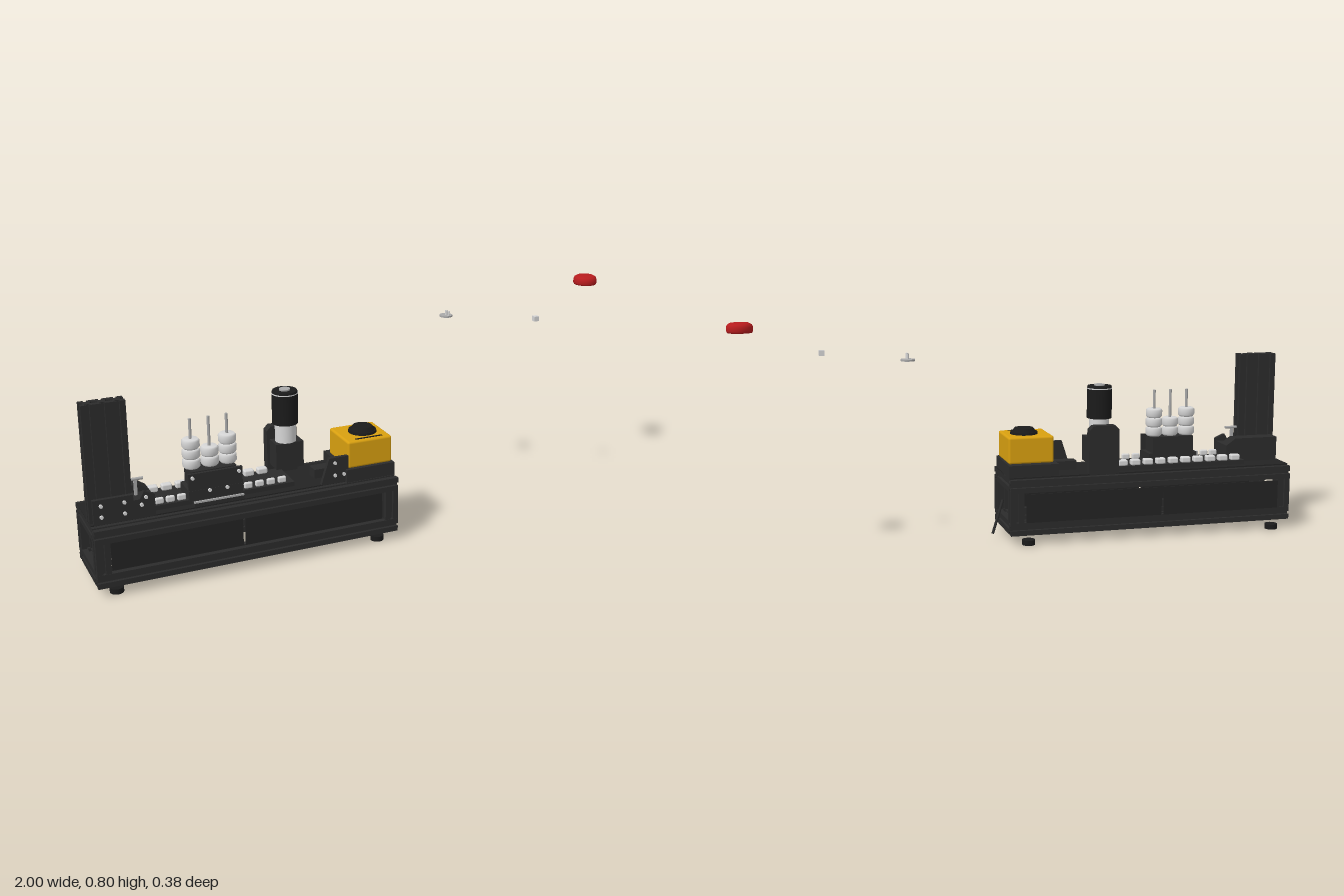
import * as THREE from 'three';
import { RoundedBoxGeometry } from 'three/addons/geometries/RoundedBoxGeometry.js';

export function createModel() {
  const root = new THREE.Group();
  const mat = (name, color, side = THREE.FrontSide) => {
    const m = new THREE.MeshStandardMaterial({ color, side });
    m.name = name;
    return m;
  };
  const frameMat = mat('black anodised frame', 0x2b2b2b);
  const panelMat = mat('dark panel', 0x232323);
  const blackMat = mat('black plastic', 0x1b1b1b);
  const whiteMat = mat('pale metal', 0xd6d6d6);
  const steelMat = mat('steel', 0xa9a9a9);
  const yellowMat = mat('yellow housing', 0xd9a010);
  const redMat = mat('red cap', 0xb81c1e, THREE.DoubleSide);

  const add = (name, geo, material, x = 0, y = 0, z = 0) => {
    const m = new THREE.Mesh(geo, material);
    m.name = name;
    m.position.set(x, y, z);
    root.add(m);
    return m;
  };
  // Box given by its minimum and maximum on each axis
  const box = (name, material, x0, x1, y0, y1, z0, z1) =>
    add(name, new THREE.BoxGeometry(x1 - x0, y1 - y0, z1 - z0), material,
      (x0 + x1) / 2, (y0 + y1) / 2, (z0 + z1) / 2);
  const cyl = (name, material, r0, r1, y0, y1, x, z, n = 32) =>
    add(name, new THREE.CylinderGeometry(r1, r0, y1 - y0, n), material, x, (y0 + y1) / 2, z);
  const bolt = (x, y, z) => {
    const b = cyl('bolt', whiteMat, 0.006, 0.006, y - 0.004, y + 0.004, x, z, 12);
    b.rotation.x = Math.PI / 2;
  };
  const plate = (name, points, z, depth, material) =>
    add(name, new THREE.ExtrudeGeometry(new THREE.Shape(points.map(p => new THREE.Vector2(...p))),
      { depth, bevelEnabled: false }), material, 0, 0, z);

  // Slotted square extrusion used for rails, posts and the column
  const beam = (name, axis, length, x, y, z, size = 0.047) => {
    const h = size / 2, g = 0.005, d = 0.011, w = 0.011;
    const side = [[h, -h], [h, -g], [h - 0.005, -g], [h - 0.005, -w], [h - d, -g],
      [h - d, g], [h - 0.005, w], [h - 0.005, g], [h, g]];
    const pts = [];
    for (let i = 0; i < 4; i++) {
      const c = [1, 0, -1, 0][i], s = [0, 1, 0, -1][i];
      side.forEach(([a, b]) => pts.push(new THREE.Vector2(a * c - b * s, a * s + b * c)));
    }
    const geo = new THREE.ExtrudeGeometry(new THREE.Shape(pts), { depth: length, bevelEnabled: false });
    geo.translate(0, 0, -length / 2);
    if (axis === 'x') geo.rotateY(Math.PI / 2);
    if (axis === 'y') geo.rotateX(Math.PI / 2);
    return add(name, geo, frameMat, x, y, z);
  };

  // Base frame
  for (const y of [0.0575, 0.21]) {
    for (const z of [0.1685, -0.0435]) beam('longRail', 'x', 1.055, -0.4725, y, z);
    for (const x of [-0.9765, 0.0315]) beam('endRail', 'z', 0.165, x, y, 0.0625);
  }
  for (const x of [-0.9765, 0.0315]) {
    for (const z of [0.1685, -0.0435]) beam('cornerPost', 'y', 0.105, x, 0.134, z);
  }
  for (const x of [-0.935, -0.01]) {
    for (const z of [0.16, -0.058]) cyl('foot', blackMat, 0.023, 0.023, 0, 0.018, x, z);
  }
  for (const z of [0.172, -0.075]) {
    box('sidePanel', panelMat, -0.948, -0.506, 0.082, 0.184, z - 0.002, z + 0.002);
    box('sidePanel', panelMat, -0.498, 0.002, 0.082, 0.184, z - 0.002, z + 0.002);
  }
  box('deck', panelMat, -0.953, 0.008, 0.215, 0.234, -0.022, 0.147);
  box('deckCover', panelMat, -1, 0.055, 0.234, 0.238, -0.045, 0.15);

  // Upright column of three extrusions
  for (let i = 0; i < 3; i++) beam('column', 'y', 0.395, -0.977 + i * 0.0467, 0.4335, 0.1125, 0.0467);

  // Column bracket
  plate('columnBracket', [[-0.99, 0.235], [-0.79, 0.235], [-0.79, 0.31], [-0.825, 0.325],
    [-0.84, 0.3], [-0.86, 0.3], [-0.86, 0.32], [-0.99, 0.32]], 0.137, 0.014, frameMat);
  plate('columnSupport', [[-0.99, 0.235], [-0.79, 0.235], [-0.79, 0.3], [-0.825, 0.325],
    [-0.99, 0.325]], 0.035, 0.053, frameMat);
  box('supportBridge', frameMat, -0.86, -0.79, 0.235, 0.3, 0.088, 0.137);
  for (const [x, y] of [[-0.965, 0.3], [-0.965, 0.262], [-0.89, 0.3], [-0.89, 0.262],
    [-0.82, 0.306], [-0.835, 0.282]]) bolt(x, y, 0.154);
  const pin = cyl('sensorPin', steelMat, 0.005, 0.005, -0.025, 0.025, -0.84, 0.11, 12);
  pin.position.y = 0.355;
  pin.rotation.z = Math.PI / 2;
  box('sensorStem', steelMat, -0.846, -0.836, 0.3, 0.355, 0.106, 0.114);

  // Conveyor bed and its rollers
  box('conveyorBed', frameMat, -0.84, -0.3, 0.238, 0.254, -0.016, 0.12);
  const roller = (x, z, w, d) => add('roller', new RoundedBoxGeometry(w, 0.022, d, 2, 0.006), whiteMat, x, 0.264, z);
  for (let i = 0; i < 10; i++) roller(-0.807 + i * 0.0482, 0, 0.036, 0.026);
  for (const x of [-0.765, -0.728, -0.69, -0.46, -0.42, -0.38, -0.34]) roller(x, 0.105, 0.03, 0.014);

  // Carrier with three stacks
  box('carrierBlock', frameMat, -0.655, -0.5, 0.256, 0.345, 0.03, 0.11);
  box('carrierFoot', frameMat, -0.67, -0.485, 0.25, 0.285, 0.03, 0.125);
  box('carrierPlate', frameMat, -0.67, -0.485, 0.262, 0.343, 0.113, 0.124);
  box('carrierLip', steelMat, -0.66, -0.49, 0.25, 0.256, 0.143, 0.149);
  box('carrierLipBase', frameMat, -0.66, -0.49, 0.238, 0.25, 0.125, 0.149);
  for (const [x, y] of [[-0.657, 0.33], [-0.498, 0.33], [-0.6, 0.28], [-0.54, 0.28]]) bolt(x, y, 0.127);
  const ringProfile = [[0, 0], [0.024, 0], [0.03, 0.007], [0.03, 0.027], [0.025, 0.033], [0, 0.033]]
    .map(p => new THREE.Vector2(...p));
  [[-0.64, 3], [-0.577, 2], [-0.515, 3]].forEach(([x, count]) => {
    for (let i = 0; i < count; i++) {
      add('stackRing', new THREE.LatheGeometry(ringProfile, 28), whiteMat, x, 0.345 + i * 0.034, 0.067);
    }
    cyl('stackRod', steelMat, 0.005, 0.005, 0.345, 0.514, x, 0.067, 12);
  });

  // Motor on its mount
  plate('motorBackPlate', [[-0.345, 0.235], [-0.235, 0.235], [-0.235, 0.395], [-0.25, 0.41],
    [-0.33, 0.41], [-0.345, 0.395]], -0.048, 0.032, frameMat);
  box('motorMount', frameMat, -0.335, -0.235, 0.274, 0.365, -0.016, 0.045);
  cyl('gearbox', whiteMat, 0.036, 0.036, 0.365, 0.43, -0.288, 0.0135);
  cyl('motorBody', blackMat, 0.0445, 0.0445, 0.43, 0.535, -0.288, 0.0135, 40);
  cyl('motorBand', whiteMat, 0.0447, 0.0447, 0.535, 0.539, -0.288, 0.0135, 40);
  cyl('motorCap', blackMat, 0.0445, 0.042, 0.539, 0.546, -0.288, 0.0135, 40);
  cyl('motorHub', steelMat, 0.019, 0.019, 0.546, 0.551, -0.288, 0.0135);

  // Switch housing on its block
  box('housingBlock', frameMat, -0.125, 0.055, 0.234, 0.28, -0.04, 0.162);
  plate('sideBracket', [[-0.215, 0.235], [-0.115, 0.235], [-0.115, 0.328], [-0.185, 0.328]], 0.137, 0.014, frameMat);
  box('bracketArm', frameMat, -0.215, -0.115, 0.238, 0.27, 0.045, 0.09);
  for (const [x, y] of [[-0.165, 0.31], [-0.165, 0.265], [-0.132, 0.265]]) bolt(x, y, 0.153);
  add('switchHousing', new RoundedBoxGeometry(0.165, 0.096, 0.161, 3, 0.008), yellowMat, -0.0325, 0.327, 0.07);
  cyl('buttonCollar', blackMat, 0.05, 0.048, 0.374, 0.383, -0.024, 0.067);
  cyl('buttonTop', blackMat, 0.043, 0.034, 0.383, 0.396, -0.024, 0.067);
  box('housingLabelStrip', blackMat, -0.08, 0.02, 0.374, 0.377, 0.13, 0.136);

  // Slanted handle at the end
  const a = new THREE.Vector3(0.055, 0.137, 0.062), b = new THREE.Vector3(0.1, 0.023, 0.029);
  add('endHandle', new THREE.TubeGeometry(new THREE.LineCurve3(a, b), 1, 0.005, 12), frameMat);

  // Separate red mushroom cap, hollow underneath
  const capProfile = [[0, 0.016], [0.03, 0.015], [0.034, 0], [0.04, 0], [0.043, 0.006], [0.043, 0.018],
    [0.039, 0.027], [0.03, 0.032], [0, 0.033]].map(p => new THREE.Vector2(...p));
  add('redCap', new THREE.LatheGeometry(capProfile, 40), redMat, 0.953, 0.77, -0.055);

  // Separate disc with pins, and a small cube
  cyl('looseDisc', steelMat, 0.024, 0.024, 0.676, 0.682, 0.425, -0.168);
  for (const z of [-0.147, -0.165]) cyl('discPin', whiteMat, 0.004, 0.004, 0.682, 0.7, 0.425, z, 12);
  box('looseCube', whiteMat, 0.677, 0.695, 0.678, 0.696, 0.022, 0.04);

  return root;
}
